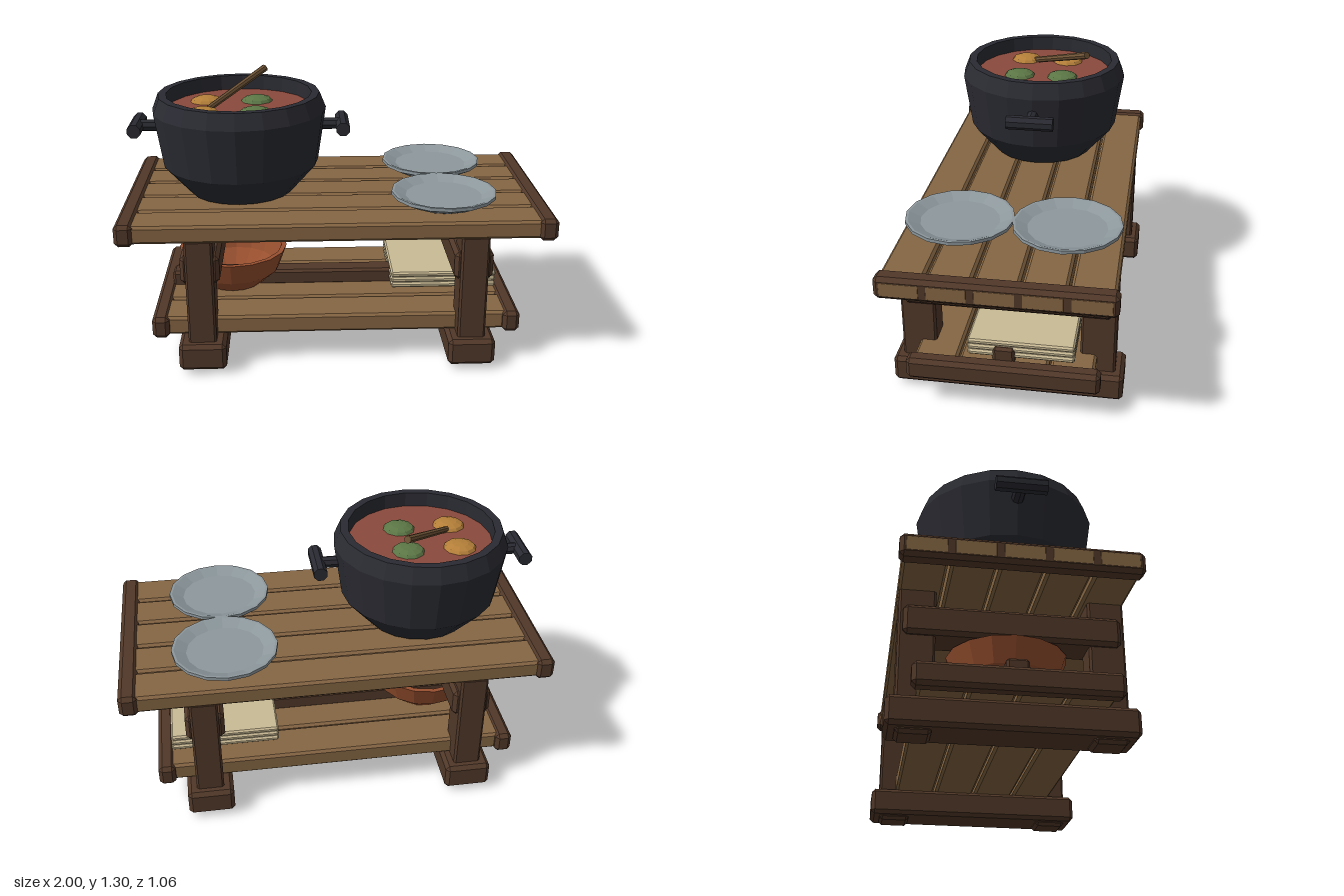
import * as THREE from 'three';
import { ConvexGeometry } from 'three/addons/geometries/ConvexGeometry.js';

const paint = (name, color, side = THREE.FrontSide) => {
  const m = new THREE.MeshStandardMaterial({ color, side });
  m.name = name;
  return m;
};

export function createModel() {
  const plankWood = paint('plank wood', 0x866643);
  const darkWood = paint('dark wood', 0x513829);
  const stickWood = paint('stick wood', 0x6e5335);
  const iron = paint('cast iron', 0x2a2b32);
  const stew = paint('stew', 0x8a4a3c);
  const orange = paint('orange dumpling', 0xb58039);
  const green = paint('green dumpling', 0x5c7746);
  const pewter = paint('pewter', 0x8d989d);
  const clay = paint('clay', 0x98502f);
  const linen = paint('linen', 0xcabb95);

  const model = new THREE.Group();
  model.name = 'servingTable';

  const add = (name, geometry, material, x = 0, y = 0, z = 0, parent = model) => {
    const mesh = new THREE.Mesh(geometry, material);
    mesh.name = name;
    mesh.position.set(x, y, z);
    parent.add(mesh);
    return mesh;
  };

  // Box with chamfered edges, given by its size
  const chamferBox = (w, h, d, c = 0.018) => {
    const pts = [];
    for (const sx of [-1, 1]) for (const sy of [-1, 1]) for (const sz of [-1, 1]) {
      const [X, Y, Z] = [sx * w / 2, sy * h / 2, sz * d / 2];
      const [x, y, z] = [X - sx * c, Y - sy * c, Z - sz * c];
      pts.push(new THREE.Vector3(X, y, z), new THREE.Vector3(x, Y, z), new THREE.Vector3(x, y, Z));
    }
    return new ConvexGeometry(pts);
  };

  // Faceted copy of a smooth geometry
  const faceted = (g) => {
    const flat = g.index ? g.toNonIndexed() : g;
    flat.computeVertexNormals();
    return flat;
  };
  const lathe = (profile, sides) =>
    faceted(new THREE.LatheGeometry(profile.map(([r, y]) => new THREE.Vector2(r, y)), sides));

  // Table top: five planks running through the end battens
  for (let i = 0; i < 5; i++) {
    add('topPlank', chamferBox(2.002, 0.085, 0.19, 0.012), plankWood, 0, 0.692, (i - 2) * 0.2);
  }
  // Lower shelf planks and the rail lying along them
  for (let i = 0; i < 4; i++) {
    add('shelfPlank', chamferBox(1.64, 0.09, 0.197, 0.012), plankWood, 0, 0.192, (i - 1.5) * 0.205);
  }
  add('shelfRail', chamferBox(1.62, 0.08, 0.1, 0.012), darkWood, 0, 0.267, 0);

  // Trestles, mirrored left and right
  for (const s of [-1, 1]) {
    add('topBatten', chamferBox(0.085, 0.105, 1.02), darkWood, s * 0.9575, 0.6925, 0);
    add('shelfBatten', chamferBox(0.08, 0.105, 0.87), darkWood, s * 0.83, 0.1925, 0);
    add('foot', chamferBox(0.22, 0.13, 1.06), darkWood, s * 0.63, 0.085, 0);
    add('crossBrace', chamferBox(0.18, 0.135, 0.94), darkWood, s * 0.63, 0.505, 0);
    for (const t of [-1, 1]) {
      add('leg', chamferBox(0.13, 0.54, 0.16, 0.01), darkWood, s * 0.63, 0.39, t * 0.41);
      add('footPad', chamferBox(0.14, 0.05, 0.15, 0.015), darkWood, s * 0.63, 0.025, t * 0.41);
    }
  }

  // Cooking pot
  const pot = new THREE.Group();
  pot.name = 'pot';
  pot.position.set(-0.45, 0, 0);
  model.add(pot);
  add('potBody', lathe([[0, 0.742], [0.25, 0.742], [0.374, 0.885], [0.413, 1.145], [0.383, 1.22],
    [0.345, 1.22], [0.34, 1.13], [0, 1.13]], 20), iron, 0, 0, 0, pot);
  add('stew', faceted(new THREE.CylinderGeometry(0.341, 0.341, 0.02, 20)), stew, 0, 1.14, 0, pot);
  for (const s of [-1, 1]) {
    const grip = add('potHandle', faceted(new THREE.CylinderGeometry(0.034, 0.034, 0.225, 8)),
      iron, s * 0.492, 1.061, 0, pot);
    grip.rotation.set(Math.PI / 2, Math.PI / 8, 0);
    const stem = add('handleStem', faceted(new THREE.CylinderGeometry(0.028, 0.028, 0.12, 8)),
      iron, s * 0.43, 1.061, 0, pot);
    stem.rotation.z = Math.PI / 2;
  }
  // Dumplings floating in the stew
  for (const [x, z, m] of [[-0.165, -0.105, orange], [-0.165, 0.113, orange],
    [0.08, -0.105, green], [0.08, 0.113, green]]) {
    const ball = add('dumpling', faceted(new THREE.SphereGeometry(0.077, 10, 6)), m, x, 1.15, z, pot);
    ball.scale.y = 0.35;
  }
  // Stirring stick leaning on the rim
  const from = new THREE.Vector3(-0.145, 1.155, 0.065);
  const to = new THREE.Vector3(0.118, 1.283, -0.23);
  const dir = to.clone().sub(from);
  const stick = add('stirringStick', faceted(new THREE.CylinderGeometry(0.018, 0.015, dir.length(), 8)),
    stickWood, 0, 0, 0, pot);
  stick.position.copy(from).add(to).multiplyScalar(0.5);
  stick.quaternion.setFromUnitVectors(new THREE.Vector3(0, 1, 0), dir.normalize());

  // Two plates
  for (const s of [-1, 1]) {
    add('plate', lathe([[0, 0.74], [0.16, 0.74], [0.19, 0.753], [0.247, 0.782], [0.247, 0.798],
      [0.235, 0.798], [0.18, 0.775], [0, 0.775]], 16), pewter, 0.51, 0, s * 0.242);
  }

  // Clay bowl on the shelf, hollow
  add('bowl', lathe([[0, 0.242], [0.14, 0.242], [0.228, 0.32], [0.268, 0.43],
    [0.243, 0.43], [0.205, 0.33], [0.13, 0.265], [0, 0.265]], 16), clay, -0.505, 0, 0);

  // Stack of folded linen
  for (let i = 0; i < 3; i++) {
    add('foldedCloth', chamferBox(0.52, 0.026, 0.48, 0.008), linen, 0.54, 0.267 + i * 0.028, -0.075);
  }

  return model;
}
